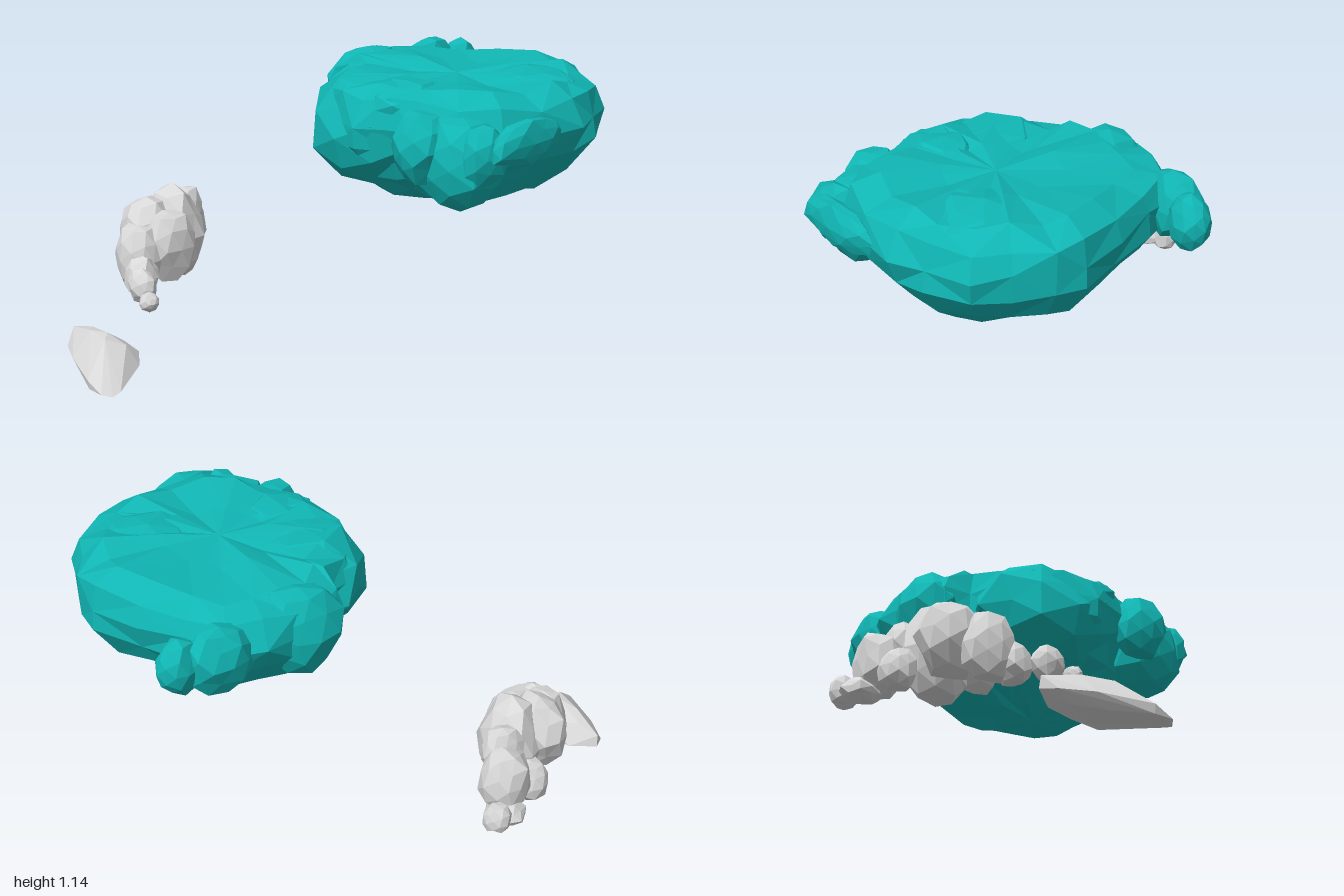
import * as THREE from 'three';
import { ConvexGeometry } from 'three/addons/geometries/ConvexGeometry.js';

const teal = new THREE.MeshStandardMaterial({ color: 0x10b6b4 });
teal.name = 'teal';
const paleGrey = new THREE.MeshStandardMaterial({ color: 0xd8d8d8 });
paleGrey.name = 'paleGrey';

// Repeatable noise in -1..1 from a position and a seed
function noise(x, y, z, seed) {
  const r = (v) => Math.round(v * 1000) / 1000;
  const s = Math.sin(r(x) * 12.99 + r(y) * 78.23 + r(z) * 37.72 + seed * 9.17) * 43758.5;
  return (s - Math.floor(s)) * 2 - 1;
}

function facet(geometry) {
  const g = geometry.index ? geometry.toNonIndexed() : geometry;
  g.computeVertexNormals();
  return g;
}

// Faceted boulder: a jittered icosphere stretched to size, turned, with a flat floor
function lump([x, y, z, rx, ry, rz, turn = 0], seed, floor = -1) {
  const g = new THREE.IcosahedronGeometry(1, 1);
  const p = g.attributes.position;
  const v = new THREE.Vector3();
  for (let i = 0; i < p.count; i++) {
    v.fromBufferAttribute(p, i);
    const k = 1 + 0.1 * noise(v.x, v.y, v.z, seed);
    v.multiplyScalar(k).multiply(new THREE.Vector3(rx, ry, rz));
    v.applyAxisAngle(THREE.Object3D.DEFAULT_UP, turn);
    v.add(new THREE.Vector3(x, y, z));
    v.y = Math.max(v.y, floor + 0.012 * noise(v.x, 0, v.z, seed));
    p.setXYZ(i, v.x, v.y, v.z);
  }
  return facet(g);
}

function addLumps(group, name, list, material, floor) {
  list.forEach((spec, i) => {
    const mesh = new THREE.Mesh(lump(spec, i + 1, floor), material);
    mesh.name = name + (i + 1);
    group.add(mesh);
  });
}

// Large mass: one plan outline, scaled level by level and roughened
function mainMass() {
  const outline = [
    [0.84, -0.56], [0.83, -0.36], [0.79, -0.18], [0.68, -0.06], [0.52, 0.0], [0.4, 0.05],
    [0.28, 0.1], [0.14, 0.08], [0.0, 0.03], [-0.1, -0.08], [-0.15, -0.21], [-0.27, -0.23],
    [-0.33, -0.34], [-0.31, -0.48], [-0.31, -0.62], [-0.26, -0.76], [-0.1, -0.83],
    [0.1, -0.92], [0.3, -0.99], [0.42, -0.99], [0.56, -0.92], [0.69, -0.85], [0.79, -0.7],
  ];
  const levels = [ // y, scale
    [0.64, 0.28], [0.69, 0.6], [0.78, 0.82], [0.89, 0.97],
    [0.99, 1], [1.08, 0.94], [1.12, 0.76], [1.115, 0.38],
  ];
  const cx = 0.3, cz = -0.42, n = outline.length;
  const pos = [], index = [];
  levels.forEach(([y, s], i) => {
    outline.forEach(([x, z], j) => {
      const k = s * (1 + 0.035 * noise(j, i, 0, 3)) - 0.01;
      pos.push(cx + (x - cx) * k, y + 0.02 * noise(j, i, 5, 4), cz + (z - cz) * k);
    });
  });
  for (let i = 0; i < levels.length - 1; i++) {
    for (let j = 0; j < n; j++) {
      const a = i * n + j, b = i * n + (j + 1) % n, c = b + n, d = a + n;
      if ((i + j) % 2) index.push(a, d, b, b, d, c);
      else index.push(a, d, c, a, c, b);
    }
  }
  // Closing fans
  const bottom = pos.length / 3, top = bottom + 1, last = (levels.length - 1) * n;
  pos.push(cx + 0.03, 0.62, cz, cx, 1.11, cz);
  for (let j = 0; j < n; j++) {
    const k = (j + 1) % n;
    index.push(bottom, j, k, top, last + k, last + j);
  }
  const g = new THREE.BufferGeometry();
  g.setAttribute('position', new THREE.Float32BufferAttribute(pos, 3));
  g.setIndex(index);
  return facet(g);
}

export function createModel() {
  const model = new THREE.Group();
  model.name = 'floatingRocks';

  // Large teal mass with its outlying lobes
  const large = new THREE.Group();
  large.name = 'largeMass';
  const core = new THREE.Mesh(mainMass(), teal);
  core.name = 'largeCore';
  large.add(core);
  addLumps(large, 'largeLobe', [
    [0.18, 0.91, -0.14, 0.31, 0.23, 0.24],         // front
    [0.34, 1.04, -0.12, 0.15, 0.1, 0.17],          // front shelf
    [-0.21, 0.96, -0.41, 0.13, 0.18, 0.17],        // right flank
    [-0.19, 0.98, -0.92, 0.07, 0.11, 0.09],        // back tip
    [-0.23, 0.98, -0.77, 0.09, 0.14, 0.14],        // back arm
    [0.56, 0.94, 0.01, 0.11, 0.14, 0.11],          // left front tip
    [0.66, 0.89, -0.1, 0.17, 0.18, 0.16, 0.5],     // left front
    [0.78, 0.94, -0.09, 0.09, 0.12, 0.1],          // left corner
    [0.85, 0.98, -0.24, 0.05, 0.09, 0.2, 0.1],     // left slab
    [0.36, 0.74, -0.4, 0.2, 0.11, 0.22],           // underside
    [0.48, 1.06, -0.62, 0.22, 0.08, 0.2],          // top hump
  ], teal);
  model.add(large);

  // Middle ridge of pale boulders on a flat base
  const ridge = new THREE.Group();
  ridge.name = 'paleRidge';
  addLumps(ridge, 'ridgeBoulder', [
    [-0.85, 0.26, 0.03, 0.055, 0.07, 0.055],
    [-0.77, 0.36, 0.13, 0.1, 0.14, 0.1],
    [-0.7, 0.43, 0.17, 0.07, 0.11, 0.09],
    [-0.62, 0.38, 0.28, 0.13, 0.2, 0.12],
    [-0.64, 0.4, 0.4, 0.13, 0.16, 0.11],
    [-0.51, 0.37, 0.38, 0.08, 0.15, 0.12],
    [-0.55, 0.34, 0.51, 0.11, 0.14, 0.09],
    [-0.77, 0.29, 0.26, 0.07, 0.09, 0.08],
    [-0.47, 0.29, 0.55, 0.07, 0.09, 0.07],
    [-0.37, 0.29, 0.62, 0.07, 0.07, 0.05],
    [-0.285, 0.255, 0.65, 0.04, 0.04, 0.04],
    [-0.82, 0.25, 0.1, 0.08, 0.05, 0.07],
  ], paleGrey, 0.22);
  model.add(ridge);

  // Low pointed stone at the front
  const stone = new THREE.Mesh(new ConvexGeometry([
    [-0.56, 0.07, 0.82], [-0.555, 0.12, 0.825], [-0.47, 0.05, 0.75], [-0.46, 0.14, 0.8],
    [-0.36, 0.04, 0.735], [-0.24, 0.03, 0.735], [-0.24, 0.085, 0.735], [-0.34, 0.1, 0.735],
    [-0.31, 0.165, 0.83], [-0.27, 0.16, 0.87], [-0.4, 0.155, 0.85], [-0.23, 0.13, 0.8],
    [-0.19, 0.05, 0.77], [-0.1, 0.01, 0.92], [-0.095, 0.0, 0.96], [-0.12, 0.01, 0.995],
    [-0.2, 0.045, 1.0], [-0.2, 0.01, 0.995], [-0.4, 0.06, 0.935], [-0.52, 0.06, 0.88],
    [-0.46, 0.025, 0.86], [-0.34, 0.012, 0.92], [-0.32, 0.015, 0.78],
  ].map((p) => new THREE.Vector3(...p))), paleGrey);
  stone.name = 'frontStone';
  model.add(stone);

  return model;
}
